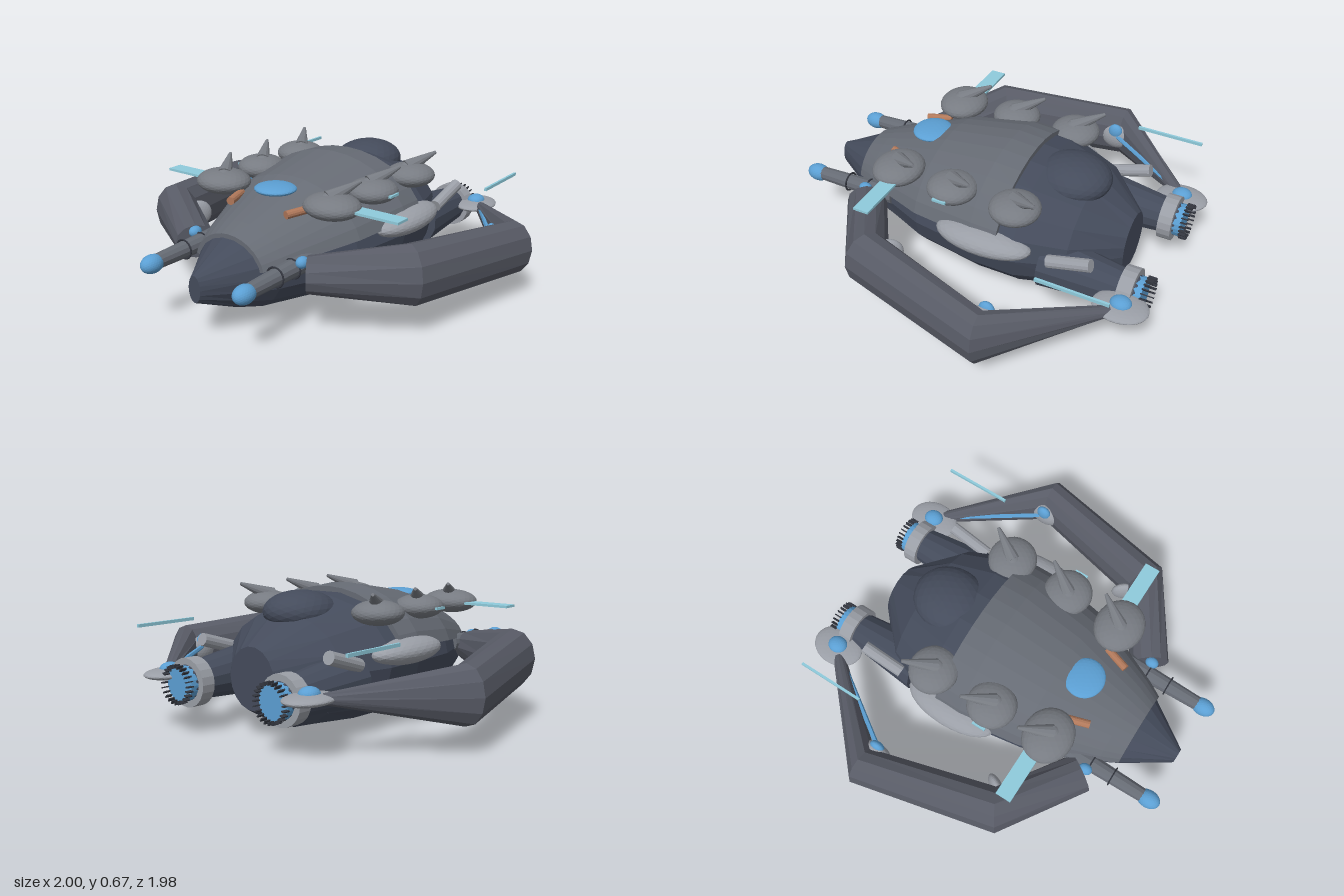
import * as THREE from 'three';

const paint = (color) => new THREE.MeshStandardMaterial({ color, flatShading: true, side: THREE.DoubleSide });
const MAT = {
  hull: paint(0x444b5b), shell: paint(0x666b74), arm: paint(0x585b66), pod: paint(0x777b82),
  pale: paint(0x9a9ea6), blue: paint(0x5b9fd3), cyan: paint(0x8fcbdc), copper: paint(0xb0785a), dark: paint(0x33363f),
};

export function createModel() {
  const model = new THREE.Group();
  model.name = 'ship';

  const add = (name, geometry, material, x = 0, y = 0, z = 0) => {
    const mesh = new THREE.Mesh(geometry, material);
    mesh.name = name;
    mesh.position.set(x, y, z);
    model.add(mesh);
    return mesh;
  };

  // skin through rings of points, ordered front to back
  const loft = (rings, closed = true) => {
    const pos = [];
    const tri = (...pts) => pts.forEach((p) => pos.push(p.x, p.y, p.z));
    const n = rings[0].length;
    const last = closed ? n : n - 1;
    for (let i = 0; i < rings.length - 1; i++) {
      for (let j = 0; j < last; j++) {
        const k = (j + 1) % n;
        const [a, b, c, d] = [rings[i][j], rings[i][k], rings[i + 1][k], rings[i + 1][j]];
        tri(a, d, b);
        tri(b, d, c);
      }
    }
    if (closed) {
      [rings[0], rings[rings.length - 1]].forEach((ring, end) => {
        const mid = ring.reduce((m, p) => m.add(p), new THREE.Vector3()).divideScalar(n);
        for (let j = 0; j < n; j++) {
          const k = (j + 1) % n;
          if (end) tri(mid, ring[k], ring[j]);
          else tri(mid, ring[j], ring[k]);
        }
      });
    }
    const g = new THREE.BufferGeometry();
    g.setAttribute('position', new THREE.Float32BufferAttribute(pos, 3));
    g.computeVertexNormals();
    return g;
  };

  const ellipsoid = (name, mat, x, y, z, rx, ry, rz) => {
    const mesh = add(name, new THREE.IcosahedronGeometry(1, 4), mat, x, y, z);
    mesh.scale.set(rx, ry, rz);
    return mesh;
  };

  // round bar between two points
  const rod = (name, mat, from, to, r0, r1, sides = 12) => {
    const a = new THREE.Vector3(...from);
    const dir = new THREE.Vector3(...to).sub(a);
    const mesh = add(name, new THREE.CylinderGeometry(r1, r0, dir.length(), sides), mat);
    mesh.position.copy(a).addScaledVector(dir, 0.5);
    mesh.quaternion.setFromUnitVectors(new THREE.Vector3(0, 1, 0), dir.normalize());
    return mesh;
  };

  // half-ellipse above and below the widest line
  const section = ([z, w, bottom, mid, top], a0, a1, steps, grow = 0) =>
    Array.from({ length: steps }, (_, j) => {
      const a = a0 + (a1 - a0) * j;
      const s = Math.sin(a);
      const h = s > 0 ? top - mid : mid - bottom;
      return new THREE.Vector3(Math.cos(a) * (w + grow), mid + s * (h + grow), z);
    });

  // hull: z, half width, bottom, widest height, top
  const hull = [
    [0.94, 0.035, 0.2, 0.265, 0.33], [0.71, 0.19, 0.1, 0.28, 0.435], [0.62, 0.24, 0.07, 0.29, 0.47],
    [0.25, 0.4, 0.025, 0.31, 0.6], [-0.08, 0.455, 0.003, 0.32, 0.655], [-0.3, 0.455, 0.006, 0.32, 0.635],
    [-0.54, 0.36, 0.02, 0.31, 0.565], [-0.75, 0.14, 0.13, 0.28, 0.43],
  ];
  const SIDES = 18;
  add('hull', loft(hull.map((s) => section(s, 0, (2 * Math.PI) / SIDES, SIDES))), MAT.hull);

  // upper armour, turned in at both ends
  const plated = [...hull.slice(1, 5), [-0.22, 0.455, 0.005, 0.32, 0.645]];
  const lo = 0.22;
  const plate = (s, grow) => section(s, lo, lo + (Math.PI - 2 * lo) / 14, 15, grow);
  add('upperShell', loft([
    plate(plated[0], -0.02), ...plated.map((s) => plate(s, 0.02)), plate(plated[4], -0.02),
  ], false), MAT.shell);

  ellipsoid('canopy', MAT.blue, 0, 0.587, 0.37, 0.105, 0.026, 0.1);
  ellipsoid('rearDome', MAT.hull, 0, 0.562, -0.42, 0.172, 0.1, 0.19);

  for (const s of [1, -1]) {
    const side = s > 0 ? 'left' : 'right';
    const name = (part) => side + part;

    // dorsal pods with swept horns
    [[0.333, 0.37, 0.142], [0.35, 0.06, 0.122], [0.355, -0.275, 0.126]].forEach(([x, z, r]) => {
      ellipsoid(name('Pod'), MAT.pod, s * x, 0.565, z, r, 0.06, 0.125);
      const base = [s * (x - 0.015), 0.6, z + 0.01];
      rod(name('Horn'), MAT.pod, base, [s * (x + 0.07), 0.665, z - 0.13], 0.04, 0.008);
      ellipsoid(name('HornBase'), MAT.pod, ...base, 0.04, 0.03, 0.042);
    });
    rod(name('Barrel'), MAT.copper, [s * 0.21, 0.53, 0.38], [s * 0.17, 0.525, 0.505], 0.02, 0.02);

    // fins and antenna
    add(name('FrontFin'), new THREE.BoxGeometry(0.3, 0.012, 0.08), MAT.cyan, s * 0.55, 0.563, 0.35);
    add(name('MiddleFin'), new THREE.BoxGeometry(0.08, 0.012, 0.07), MAT.cyan, s * 0.44, 0.563, 0.065);
    add(name('Antenna'), new THREE.BoxGeometry(0.012, 0.016, 0.35), MAT.cyan, s * 0.66, 0.478, -0.695);

    // flank blister and vent tube
    ellipsoid(name('Blister'), MAT.pale, s * 0.42, 0.38, -0.14, 0.108, 0.066, 0.25);
    rod(name('Vent'), MAT.pale, [s * 0.4, 0.35, -0.47], [s * 0.405, 0.415, -0.685], 0.032, 0.032);

    // arm: centre x y z, ring half width and height, ring direction x z
    const arm = [
      [0.345, 0.3, 0.575, 0.1, 0.085, 0.55, 0.84], [0.73, 0.31, 0.32, 0.115, 0.148, 0.86, 0.51],
      [0.9, 0.267, -0.37, 0.1, 0.138, 1, -0.06], [0.49, 0.27, -0.82, 0.03, 0.025, 0.75, -0.66],
    ];
    add(name('Arm'), loft(arm.map(([x, y, z, w, h, dx, dz]) =>
      Array.from({ length: 12 }, (_, j) => {
        const a = (s * j * Math.PI) / 6;
        const c = Math.cos(a) * w;
        return new THREE.Vector3(s * (x + c * dx), y + Math.sin(a) * h, z + c * dz);
      }))), MAT.arm);

    // joint discs and conduit on the inner side of the arm
    ellipsoid(name('FrontJoint'), MAT.pale, s * 0.63, 0.3, 0.26, 0.03, 0.07, 0.07).rotation.y = s * 0.55;
    ellipsoid(name('RearJoint'), MAT.pale, s * 0.805, 0.28, -0.35, 0.045, 0.07, 0.085);
    ellipsoid(name('JointCap'), MAT.blue, s * 0.785, 0.325, -0.35, 0.025, 0.045, 0.04);
    rod(name('Conduit'), MAT.blue, [s * 0.785, 0.3, -0.35], [s * 0.5, 0.28, -0.79], 0.012, 0.012, 6);

    // claw disc at the rear tip
    ellipsoid(name('TipDisc'), MAT.pale, s * 0.445, 0.27, -0.855, 0.105, 0.027, 0.135);
    ellipsoid(name('TipLight'), MAT.blue, s * 0.445, 0.29, -0.855, 0.046, 0.034, 0.052);

    // engine: nacelle, collar, glow disc, teeth
    const ex = s * 0.3;
    const ey = 0.245;
    rod(name('Nacelle'), MAT.hull, [ex, ey + 0.02, -0.42], [ex, ey, -0.89], 0.135, 0.085, 14);
    rod(name('EngineCollar'), MAT.pale, [ex, ey, -0.81], [ex, ey, -0.88], 0.117, 0.117, 20);
    rod(name('EngineGlow'), MAT.blue, [ex, ey, -0.88], [ex, ey, -0.92], 0.085, 0.085, 20);
    for (let i = 0; i < 24; i++) {
      const a = (i * Math.PI) / 12;
      const tooth = add(name('EngineTooth'), new THREE.BoxGeometry(0.016, 0.006, 0.036), MAT.dark,
        ex + Math.cos(a) * 0.086, ey + Math.sin(a) * 0.086, -0.934);
      tooth.rotation.z = a;
    }

    // forward gun
    const gx = s * 0.28;
    rod(name('Gun'), MAT.shell, [gx, 0.325, 0.45], [gx, 0.315, 0.9], 0.048, 0.036);
    for (const z of [0.6, 0.72]) {
      const band = add(name('GunBand'), new THREE.TorusGeometry(0.047, 0.005, 6, 16), MAT.dark, gx, 0.32, z);
      band.scale.z = 0.8;
    }
    ellipsoid(name('GunTip'), MAT.blue, gx, 0.313, 0.925, 0.045, 0.045, 0.062);
    ellipsoid(name('GunSensor'), MAT.blue, s * 0.33, 0.36, 0.59, 0.028, 0.028, 0.035);
  }
  return model;
}
